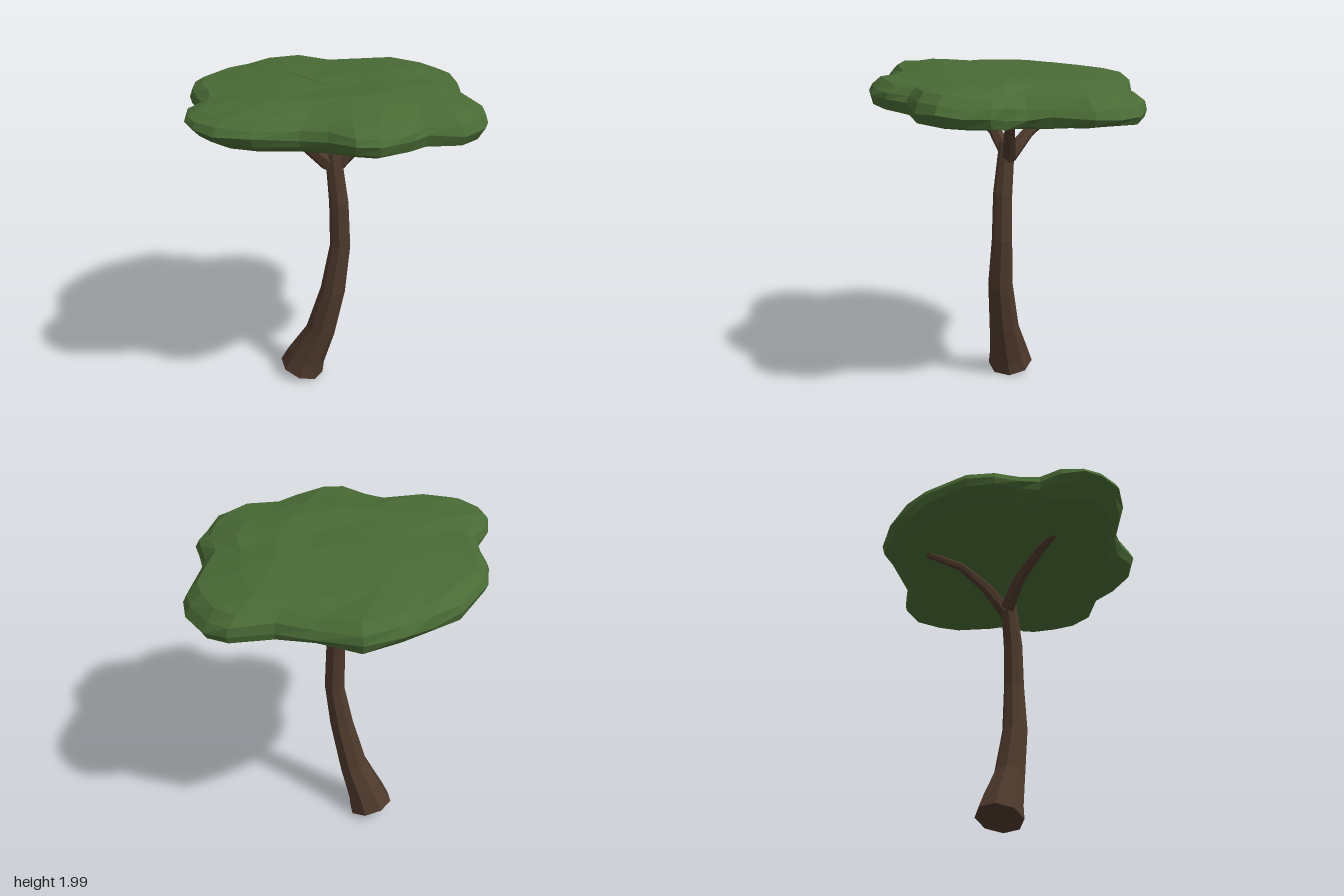
import * as THREE from 'three';

const bark = new THREE.MeshStandardMaterial({ name: 'brown bark', color: 0x4e392c });
const leaf = new THREE.MeshStandardMaterial({ name: 'green leaves', color: 0x496a35 });

// Small seeded generator, returns -1..1
function makeNoise(seed) {
  let s = seed;
  return () => {
    s = (s * 16807) % 2147483647;
    return (s / 2147483647) * 2 - 1;
  };
}

// Faceted, capped skin over rings that each run counter-clockwise about the direction of travel.
// Neighbouring points of a ring may coincide; the empty triangles are skipped.
function loft(rings) {
  const n = rings[0].length;
  const pos = [];
  const tri = (a, b, c) => {
    if (a.equals(b) || b.equals(c) || c.equals(a)) return;
    for (const p of [a, b, c]) pos.push(p.x, p.y, p.z);
  };
  const middle = (ring) =>
    ring.reduce((sum, p) => sum.add(p), new THREE.Vector3()).divideScalar(n);
  const first = rings[0];
  const last = rings[rings.length - 1];
  const start = middle(first);
  const end = middle(last);
  for (let i = 0; i < n; i++) {
    const j = (i + 1) % n;
    tri(start, first[j], first[i]);
    for (let k = 0; k < rings.length - 1; k++) {
      const a = rings[k], b = rings[k + 1];
      tri(a[i], a[j], b[j]);
      tri(a[i], b[j], b[i]);
    }
    tri(end, last[i], last[j]);
  }
  const geo = new THREE.BufferGeometry();
  geo.setAttribute('position', new THREE.Float32BufferAttribute(pos, 3));
  geo.computeVertexNormals();
  return geo;
}

// Tapered limb through stations of [x, y, z, radius]
function limb(name, stations, sides) {
  const centres = stations.map(([x, y, z]) => new THREE.Vector3(x, y, z));
  const rings = centres.map((c, k) => {
    const before = centres[Math.max(k - 1, 0)];
    const after = centres[Math.min(k + 1, centres.length - 1)];
    const t = after.clone().sub(before).normalize();
    const u = t.clone().cross(new THREE.Vector3(0, 0, 1)).normalize();
    const v = t.clone().cross(u);
    return Array.from({ length: sides }, (_, i) => {
      const a = ((i + 0.25) / sides) * Math.PI * 2;
      return c.clone()
        .addScaledVector(u, Math.cos(a) * stations[k][3])
        .addScaledVector(v, Math.sin(a) * stations[k][3]);
    });
  });
  const mesh = new THREE.Mesh(loft(rings), bark);
  mesh.name = name;
  return mesh;
}

// Flat spreading crown: lobed outline, leaning rim, flatter top and underside
function canopy() {
  const outline = [
    [0.86, 0], [0.865, 0.15], [0.78, 0.29], [0.6, 0.4], [0.54, 0.54], [0.41, 0.68],
    [0.29, 0.735], [0.13, 0.7], [-0.02, 0.71], [-0.25, 0.82], [-0.44, 0.85], [-0.57, 0.79],
    [-0.65, 0.71], [-0.695, 0.58], [-0.68, 0.45], [-0.74, 0.34], [-0.82, 0.22], [-0.87, 0.06],
    [-0.83, -0.22], [-0.74, -0.39], [-0.64, -0.54], [-0.47, -0.68], [-0.22, -0.72], [0, -0.74],
    [0.21, -0.86], [0.36, -0.85], [0.52, -0.76], [0.6, -0.65], [0.65, -0.42], [0.69, -0.3],
    [0.77, -0.2], [0.83, -0.14],
  ];
  // [scale of outline, height, lean, outline points per corner, sideways and height roughness]
  const layers = [
    [0.22, 1.985, 0.015, 8, 0.04, 0.006],
    [0.46, 1.98, 0.015, 4, 0.07, 0.01],
    [0.7, 1.967, 0.02, 2, 0.06, 0.01],
    [0.9, 1.93, 0.03, 1, 0.015, 0.01],
    [0.975, 1.888, 0.04, 1, 0.012, 0.012],
    [1, 1.842, 0.045, 1, 0, 0.013],
    [0.97, 1.795, 0.043, 1, 0.02, 0.013],
    [0.88, 1.765, 0.033, 1, 0.02, 0.008],
    [0.62, 1.748, 0.018, 2, 0.04, 0.005],
    [0.3, 1.745, 0.012, 4, 0.04, 0.005],
  ];
  const noise = makeNoise(77);
  const rings = layers.map(([scale, height, lean, step, side, up], k) => {
    const shift = k % 2 ? step / 2 : 0;
    const ring = [];
    for (let i = 0; i < outline.length; i += step) {
      const [x, z] = outline[Math.floor(i + shift) % outline.length];
      const s = scale + noise() * side;
      const y = height + lean * (z - x) * s + noise() * up;
      const corner = new THREE.Vector3(x * s, y, z * s);
      for (let r = 0; r < step; r++) ring.push(corner);
    }
    return ring;
  });
  const mesh = new THREE.Mesh(loft(rings), leaf);
  mesh.name = 'canopy';
  return mesh;
}

export function createModel() {
  const tree = new THREE.Group();
  tree.name = 'tree';

  // Curved trunk, flared at the foot
  tree.add(limb('trunk', [
    [-0.24, 0.053, 0.025, 0.141],
    [-0.209, 0.14, 0.027, 0.124],
    [-0.11, 0.345, 0.033, 0.092],
    [-0.027, 0.65, 0.035, 0.076],
    [0.014, 0.95, 0.014, 0.062],
    [0.005, 1.23, 0.012, 0.058],
    [-0.035, 1.54, -0.005, 0.047],
  ], 8));

  // Three branches fanning out into the crown
  const branches = {
    leftBranch: [[-0.02, 1.45, -0.02, 0.045], [0.12, 1.6, -0.06, 0.036], [0.27, 1.73, -0.1, 0.026], [0.33, 1.78, -0.11, 0.02]],
    backBranch: [[-0.05, 1.46, -0.02, 0.048], [-0.15, 1.59, -0.11, 0.036], [-0.28, 1.69, -0.22, 0.026], [-0.4, 1.755, -0.4, 0.02]],
    frontBranch: [[-0.06, 1.47, 0, 0.048], [-0.15, 1.6, 0.11, 0.037], [-0.26, 1.72, 0.3, 0.028], [-0.3, 1.78, 0.41, 0.02]],
  };
  for (const [name, stations] of Object.entries(branches)) tree.add(limb(name, stations, 6));

  tree.add(canopy());
  return tree;
}
